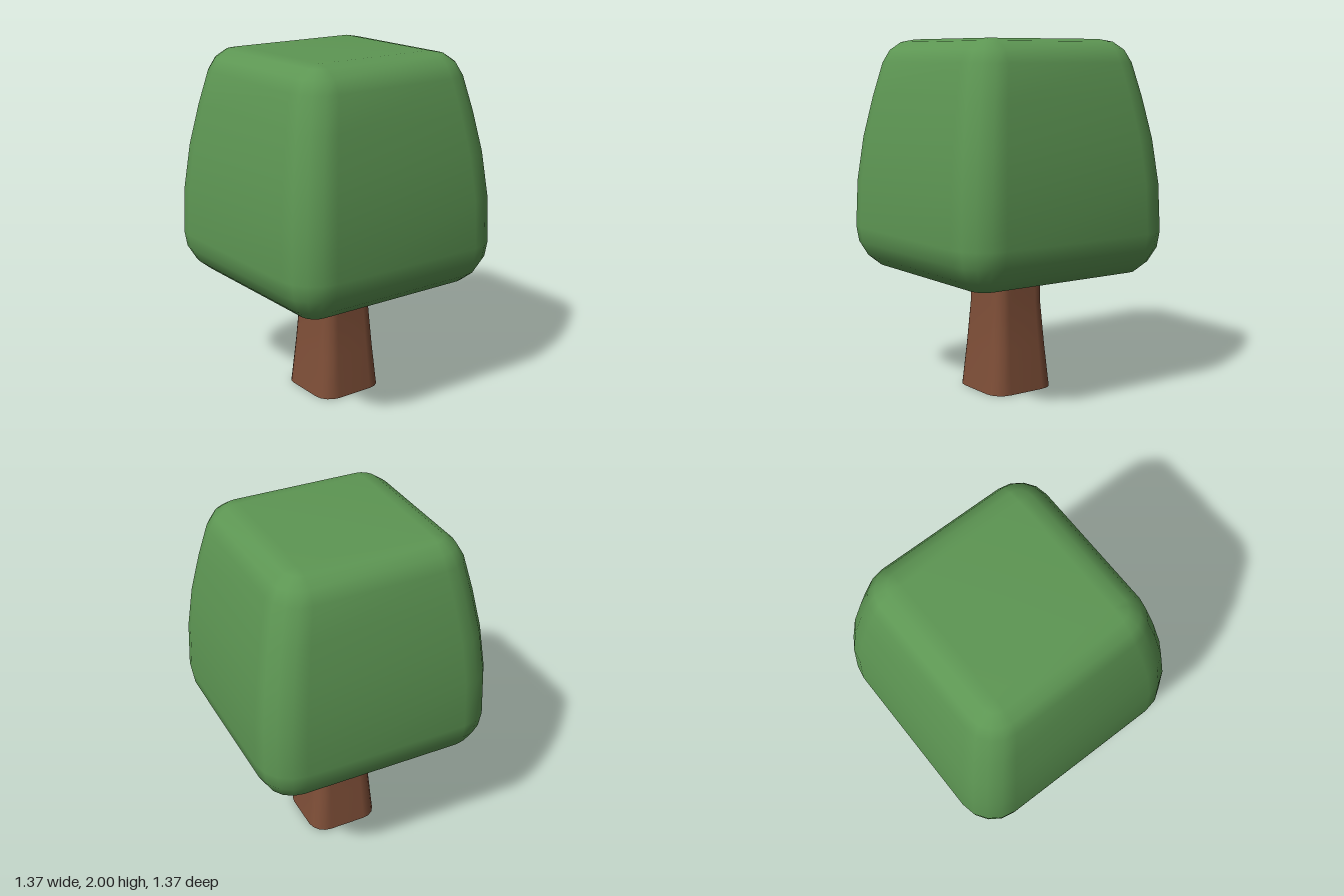
import * as THREE from 'three';
import { mergeVertices } from 'three/addons/utils/BufferGeometryUtils.js';

const CORNER_STEPS = 4;

// Rounded-square outline at height y with half width h and corner radius r
function outline(y, h, r) {
  const points = [];
  for (let c = 0; c < 4; c++) {
    const mid = (c + 0.5) * Math.PI / 2;
    const cx = Math.sign(Math.cos(mid)) * (h - r);
    const cz = Math.sign(Math.sin(mid)) * (h - r);
    for (let s = 0; s <= CORNER_STEPS; s++) {
      const a = (c + s / CORNER_STEPS) * Math.PI / 2;
      points.push(cx + r * Math.cos(a), y, cz + r * Math.sin(a));
    }
  }
  return points;
}

// Skin a stack of [y, halfWidth, cornerRadius] sections and close both ends
function loft(sections, sharpEnds) {
  const n = 4 * (CORNER_STEPS + 1);
  const pos = sections.flatMap(([y, h, r]) => outline(y, h, r));
  const index = [];
  for (let k = 0; k < sections.length - 1; k++) {
    for (let i = 0; i < n; i++) {
      const a = k * n + i, b = k * n + (i + 1) % n;
      index.push(a, a + n, b, b, a + n, b + n);
    }
  }
  const cap = (k, top) => {
    const [y, h, r] = sections[k];
    let start = k * n;
    if (sharpEnds) {
      start = pos.length / 3;
      pos.push(...outline(y, h, r));
    }
    const centre = pos.length / 3;
    pos.push(0, y, 0);
    for (let i = 0; i < n; i++) {
      const a = start + i, b = start + (i + 1) % n;
      if (top) index.push(centre, b, a);
      else index.push(centre, a, b);
    }
  };
  cap(0, false);
  cap(sections.length - 1, true);

  let geo = new THREE.BufferGeometry();
  geo.setAttribute('position', new THREE.Float32BufferAttribute(pos, 3));
  geo.setIndex(index);
  if (!sharpEnds) geo = mergeVertices(geo, 1e-4);
  geo.computeVertexNormals();
  return geo;
}

export function createModel() {
  const leafGreen = new THREE.MeshStandardMaterial({ color: 0x5d9653 });
  leafGreen.name = 'leafGreen';
  const barkBrown = new THREE.MeshStandardMaterial({ color: 0x7f4f38 });
  barkBrown.name = 'barkBrown';

  const tree = new THREE.Group();
  tree.name = 'tree';

  // Foliage: soft tapered cube, widest near the bottom
  const foliage = new THREE.Mesh(loft([
    [0.68, 0.46, 0],
    [0.698, 0.55, 0.085],
    [0.755, 0.62, 0.15],
    [0.84, 0.67, 0.195],
    [0.93, 0.685, 0.21],
    [1.2, 0.675, 0.207],
    [1.45, 0.645, 0.2],
    [1.68, 0.6, 0.19],
    [1.87, 0.555, 0.18],
    [1.94, 0.515, 0.145],
    [1.985, 0.45, 0.08],
    [2.0, 0.37, 0],
  ], false), leafGreen);
  foliage.name = 'foliage';

  // Trunk: rounded square post flaring towards the ground
  const trunk = new THREE.Mesh(loft([
    [0, 0.211, 0.1],
    [0.25, 0.186, 0.085],
    [0.5, 0.166, 0.075],
    [0.75, 0.163, 0.072],
  ], true), barkBrown);
  trunk.name = 'trunk';

  tree.add(foliage, trunk);
  return tree;
}
